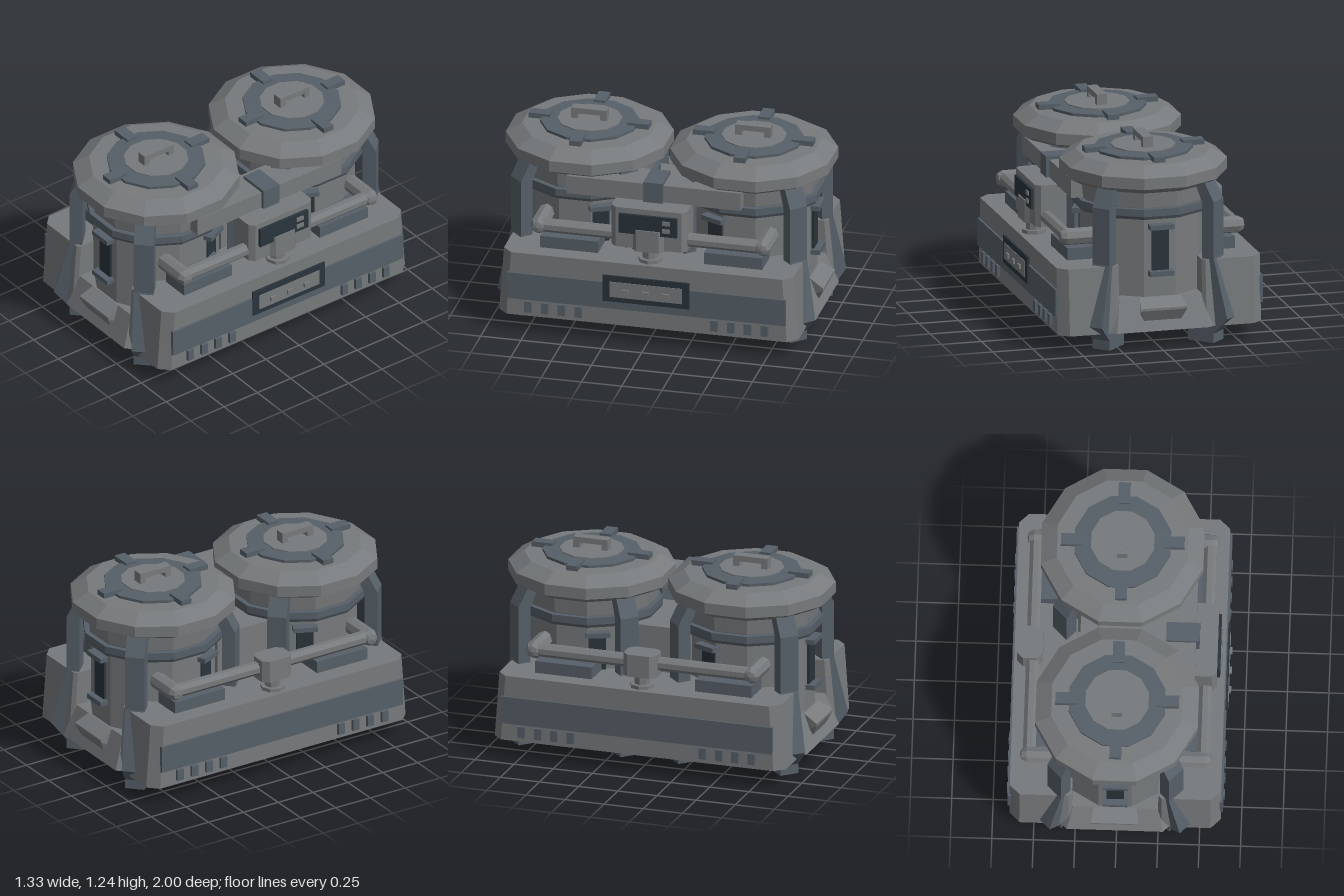
import * as THREE from 'three';

const mat = (name, color) => {
  const m = new THREE.MeshStandardMaterial({ color, flatShading: true });
  m.name = name;
  return m;
};

export function createModel() {
  const gray = mat('gray metal', 0x777a7c);
  const slate = mat('slate metal', 0x565f68);
  const dark = mat('dark glass', 0x2a343b);

  const model = new THREE.Group();
  model.name = 'twinTankMachine';
  model.position.x = -0.01;

  const add = (parent, name, geo, material, x = 0, y = 0, z = 0) => {
    const m = new THREE.Mesh(geo, material);
    m.name = name;
    m.position.set(x, y, z);
    parent.add(m);
    return m;
  };
  // box given by its limits
  const box = (parent, name, material, x0, x1, y0, y1, z0, z1) =>
    add(parent, name, new THREE.BoxGeometry(x1 - x0, y1 - y0, z1 - z0), material,
      (x0 + x1) / 2, (y0 + y1) / 2, (z0 + z1) / 2);
  // twelve-sided turned part with flats facing the axes; points are [apothem, y]
  const turned = (parent, name, material, pts) => {
    const k = 1 / Math.cos(Math.PI / 12);
    const geo = new THREE.LatheGeometry(pts.map(([r, y]) => new THREE.Vector2(r * k, y)), 12);
    return add(parent, name, geo.rotateY(Math.PI / 12), material);
  };
  // upright block with chamfered corners, c0 inside (low x), c1 outside;
  // the ends lean in by "lean" towards the top
  const chamfered = (x0, x1, y0, y1, hz, c0, c1, lean = 0) => {
    const s = new THREE.Shape([
      [x0, -hz + c0], [x0 + c0, -hz], [x1 - c1, -hz], [x1, -hz + c1],
      [x1, hz - c1], [x1 - c1, hz], [x0 + c0, hz], [x0, hz - c0],
    ].map(p => new THREE.Vector2(...p)));
    const g = new THREE.ExtrudeGeometry(s, { depth: y1 - y0, bevelEnabled: false });
    g.rotateX(-Math.PI / 2).translate(0, y0, 0);
    const p = g.attributes.position;
    for (let i = 0; i < p.count; i++) {
      if (p.getY(i) > (y0 + y1) / 2) p.setZ(i, p.getZ(i) * (1 - lean / hz));
    }
    g.computeVertexNormals();
    return g;
  };
  // side profile [outward, up] extruded to a width and centred
  const profile = (pts, width) =>
    new THREE.ExtrudeGeometry(new THREE.Shape(pts.map(p => new THREE.Vector2(...p))),
      { depth: width, bevelEnabled: false }).translate(0, 0, -width / 2);

  // central hull under both tanks, and the block joining them
  const hull = chamfered(-0.33, 0.33, 0.115, 0.31, 0.965, 0.04, 0.04, 0.075);
  const hp = hull.attributes.position;
  for (let i = 0; i < hp.count; i++) if (hp.getY(i) > 0.2) hp.setX(i, hp.getX(i) * 0.88);
  hull.computeVertexNormals();
  add(model, 'hull', hull, gray);
  box(model, 'tankJoint', gray, -0.24, 0.24, 0.3, 0.8, -0.2, 0.2);

  const legGeo = profile([
    [0.343, 0], [0.52, 0], [0.52, 0.06], [0.615, 0.16], [0.52, 0.53], [0.52, 0.88],
    [0.455, 1.0], [0.385, 1.0], [0.44, 0.87], [0.44, 0.53], [0.5, 0.17], [0.44, 0.1], [0.343, 0.09],
  ], 0.12);
  const chuteGeo = profile([
    [0.33, 0.165], [0.425, 0.165], [0.465, 0.245], [0.465, 0.26], [0.38, 0.31], [0.33, 0.31],
  ], 0.28);
  const cp = chuteGeo.attributes.position;
  for (let i = 0; i < cp.count; i++) {
    const y = cp.getY(i);
    cp.setZ(i, cp.getZ(i) * (y < 0.2 ? 0.8 : y > 0.3 ? 0.92 : 1.04));
  }
  chuteGeo.computeVertexNormals();

  // each tank is built with its outer end at +z; the rear one is turned round
  for (const end of [1, -1]) {
    const tank = new THREE.Group();
    tank.name = end > 0 ? 'frontTank' : 'rearTank';
    tank.position.z = 0.51 * end;
    if (end < 0) tank.rotation.y = Math.PI;
    model.add(tank);

    turned(tank, 'tankBody', gray, [[0, 0.085], [0.35, 0.085], [0.37, 0.12], [0.37, 0.31],
      [0.37, 0.8], [0.385, 0.87], [0.395, 0.98], [0, 0.98]]);
    turned(tank, 'tankBand', slate, [[0.36, 0.8], [0.405, 0.8], [0.415, 0.82], [0.415, 0.865], [0.36, 0.865]]);
    turned(tank, 'lid', gray, [[0, 0.97], [0.42, 0.97], [0.49, 1.01], [0.49, 1.08],
      [0.395, 1.138], [0, 1.145]]);
    turned(tank, 'lidRing', slate, [[0.29, 1.135], [0.29, 1.157], [0.19, 1.162], [0, 1.162]]);
    turned(tank, 'lidDisc', gray, [[0.19, 1.155], [0.19, 1.168], [0, 1.168]]);

    // spokes across the lid ring
    for (let i = 0; i < 4; i++) {
      const spoke = new THREE.Group();
      spoke.name = 'lidSpoke';
      spoke.rotation.y = i * Math.PI / 2;
      box(spoke, 'spokeBar', slate, -0.036, 0.036, 1.142, 1.174, 0.24, 0.373);
      tank.add(spoke);
    }
    // carrying handle
    box(tank, 'handleBar', gray, -0.032, 0.032, 1.2, 1.235, -0.11, 0.11);
    for (const s of [-1, 1]) {
      box(tank, 'handlePost', gray, -0.032, 0.032, 1.16, 1.205, s * 0.09 - 0.02, s * 0.09 + 0.02);
    }
    // legs on the diagonals
    for (let i = 0; i < 4; i++) {
      add(tank, 'leg', legGeo, slate).rotation.y = Math.PI / 4 + i * Math.PI / 2;
    }
    // gauge windows: the outer end and both sides
    for (const a of [0, 114, -114]) {
      const gauge = new THREE.Group();
      gauge.name = 'gauge';
      gauge.rotation.y = a * Math.PI / 180;
      box(gauge, 'gaugeGlass', dark, -0.052, 0.052, 0.47, 0.74, 0.36, 0.385);
      box(gauge, 'gaugeTopCap', slate, -0.075, 0.075, 0.735, 0.765, 0.355, 0.425);
      box(gauge, 'gaugeBottomCap', slate, -0.075, 0.075, 0.445, 0.475, 0.355, 0.425);
      tank.add(gauge);
    }
    add(tank, 'chute', chuteGeo, gray).rotation.y = -Math.PI / 2;
  }

  // matching equipment on both flanks, built at +x and turned round for -x
  for (const side of [1, -1]) {
    const flank = new THREE.Group();
    flank.name = side > 0 ? 'leftFlank' : 'rightFlank';
    if (side < 0) flank.rotation.y = Math.PI;
    model.add(flank);

    add(flank, 'sideTank', chamfered(0.26, 0.637, 0.11, 0.52, 0.93, 0.02, 0.06, 0.03), gray);
    box(flank, 'sideBand', slate, 0.63, 0.65, 0.22, 0.39, -0.865, 0.865);

    // pipe with junction box and stem
    add(flank, 'pipe', new THREE.CylinderGeometry(0.042, 0.042, 1.4, 8)
      .rotateY(Math.PI / 8).rotateX(Math.PI / 2), gray, 0.525, 0.672, 0);
    add(flank, 'junction', chamfered(0.462, 0.618, 0.6, 0.74, 0.105, 0.035, 0.035), gray);
    add(flank, 'junctionStem', new THREE.CylinderGeometry(0.05, 0.05, 0.1, 8), gray, 0.54, 0.57, 0);
    add(flank, 'stemFlange', new THREE.CylinderGeometry(0.075, 0.075, 0.025, 8), gray, 0.54, 0.53, 0);

    for (const s of [-1, 1]) {
      // elbow into the tank, with a rounded outer end
      add(flank, 'pipeElbow', new THREE.LatheGeometry([[0.052, 0.33], [0.052, 0.54], [0.035, 0.572], [0, 0.58]]
        .map(p => new THREE.Vector2(...p)), 8).rotateZ(-Math.PI / 2), gray, 0, 0.67, s * 0.695);
      box(flank, 'pipeSupport', slate, 0.34, 0.525, 0.515, 0.595, s * 0.51 - 0.18, s * 0.51 + 0.18);
      // row of vents
      for (let i = 0; i < 4; i++) {
        const z = s * (0.422 + i * 0.104);
        box(flank, 'vent', slate, 0.625, 0.657, 0.14, 0.21, z - 0.022, z + 0.022);
      }
    }
  }

  // control panel on the left flank
  box(model, 'panelFrame', dark, 0.645, 0.658, 0.27, 0.44, -0.27, 0.27);
  box(model, 'panelFace', gray, 0.65, 0.662, 0.302, 0.402, -0.225, 0.225);
  for (const z of [-0.125, 0, 0.125]) {
    box(model, 'panelButton', gray, 0.655, 0.675, 0.333, 0.36, z - 0.02, z + 0.02);
  }

  // console with its screen, and the beam and clamp behind it
  add(model, 'console', chamfered(0.4, 0.592, 0.61, 0.87, 0.235, 0.01, 0.03), gray);
  box(model, 'screen', dark, 0.585, 0.61, 0.71, 0.835, -0.18, 0.18);
  for (const y of [0.75, 0.8]) {
    box(model, 'screenButton', gray, 0.6, 0.618, y - 0.013, y + 0.013, -0.14, -0.09);
  }
  box(model, 'beam', gray, 0.24, 0.46, 0.865, 0.98, -0.54, 0.54);
  box(model, 'beamClamp', slate, 0.28, 0.482, 0.86, 1.0, -0.06, 0.06);

  return model;
}
